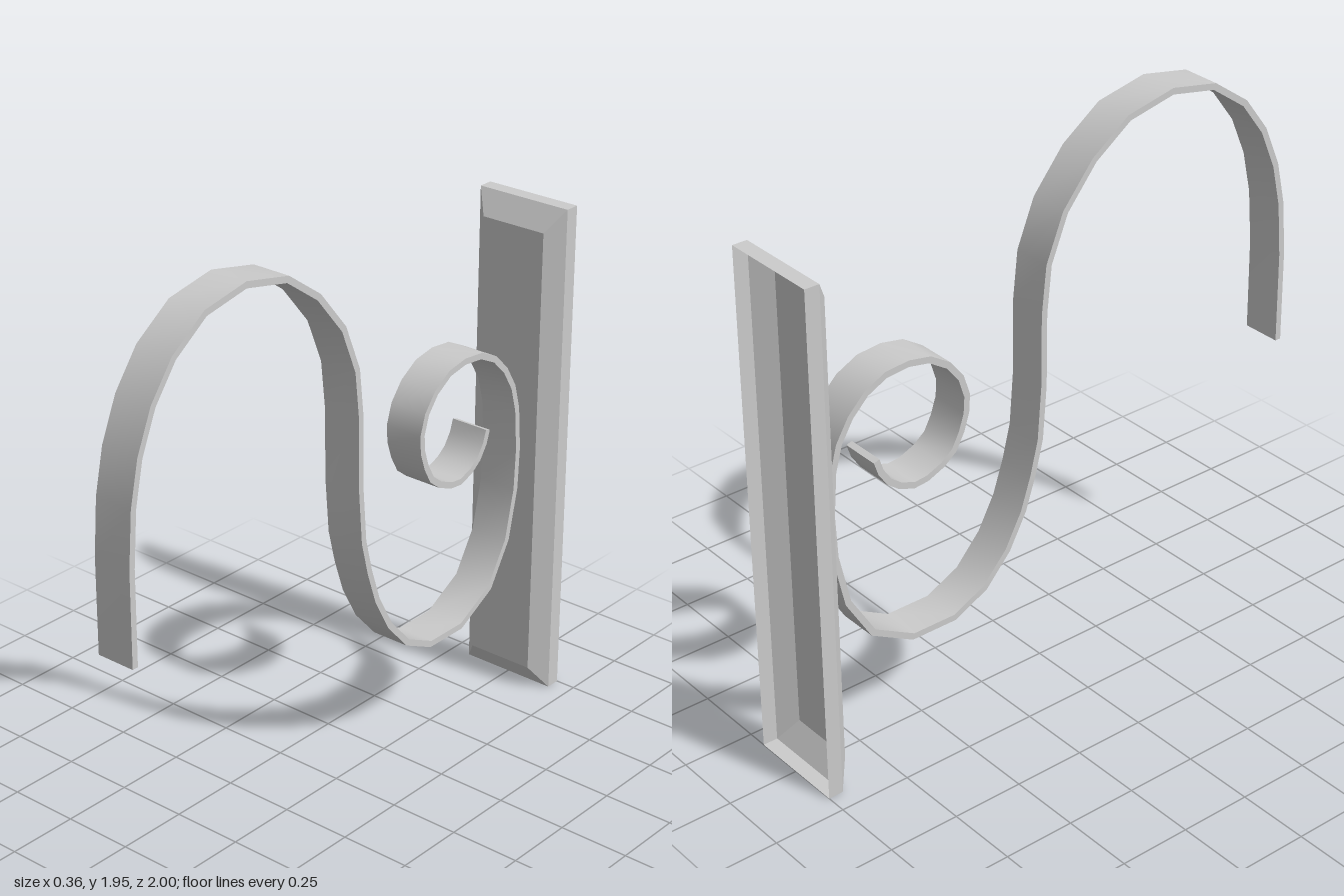
import * as THREE from 'three';
import { toCreasedNormals } from 'three/addons/utils/BufferGeometryUtils.js';

const BAND_WIDTH = 0.14;
const BAND_THICKNESS = 0.022;

// Centreline of the bent band as [z, y], from the free end to the scroll's tip
const PATH = [
  [0.99, 0.885], [0.988, 1.21], [0.973, 1.4], [0.94, 1.55], [0.88, 1.69], [0.79, 1.81], [0.655, 1.905],
  [0.48, 1.938], [0.3, 1.9], [0.16, 1.8], [0.045, 1.66], [-0.02, 1.5], [-0.038, 1.335],
  [-0.04, 1.08], [-0.055, 0.89], [-0.085, 0.77], [-0.125, 0.65], [-0.19, 0.53], [-0.285, 0.425],
  [-0.41, 0.365], [-0.575, 0.365], [-0.73, 0.45], [-0.82, 0.6], [-0.86, 0.78], [-0.867, 0.93],
  [-0.855, 1.08], [-0.83, 1.17], [-0.785, 1.245], [-0.725, 1.305], [-0.65, 1.342], [-0.565, 1.35],
  [-0.485, 1.335], [-0.415, 1.29], [-0.368, 1.23], [-0.346, 1.16], [-0.35, 1.1], [-0.37, 1.04],
  [-0.4, 0.985], [-0.445, 0.95], [-0.505, 0.925], [-0.555, 0.92], [-0.61, 0.94], [-0.65, 0.97],
  [-0.68, 1.015], [-0.695, 1.06],
].map(([z, y]) => new THREE.Vector2(z, y));

// Mitred offset of a polyline to one side
function offset(points, distance) {
  const normal = (a, b) => {
    const d = b.clone().sub(a).normalize();
    return new THREE.Vector2(-d.y, d.x);
  };
  return points.map((p, i) => {
    const before = normal(points[Math.max(i - 1, 0)], points[Math.max(i, 1)]);
    const last = points.length - 1;
    const after = normal(points[Math.min(i, last - 1)], points[Math.min(i + 1, last)]);
    const miter = before.clone().add(after).normalize();
    return p.clone().addScaledVector(miter, distance / miter.dot(after));
  });
}

function bandGeometry() {
  const outline = [
    ...offset(PATH, BAND_THICKNESS / 2),
    ...offset(PATH, -BAND_THICKNESS / 2).reverse(),
  ];
  const geometry = new THREE.ExtrudeGeometry(new THREE.Shape(outline), {
    depth: BAND_WIDTH, bevelEnabled: false,
  });
  geometry.translate(0, 0, -BAND_WIDTH / 2).rotateY(-Math.PI / 2);
  return toCreasedNormals(geometry, 0.8);
}

// Pressed plate: straight rim, bevelled border and flat front, open at the back
function plateGeometry() {
  const rings = [
    { w: 0.178, h: 0.895, z: -1 },
    { w: 0.178, h: 0.895, z: -0.948 },
    { w: 0.123, h: 0.815, z: -0.895 },
  ];
  const positions = [];
  for (const { w, h, z } of rings) {
    for (const [sx, sy] of [[-1, -1], [1, -1], [1, 1], [-1, 1]]) positions.push(sx * w, 0.895 + sy * h, z);
  }
  const index = [];
  for (let r = 0; r < rings.length - 1; r++) {
    for (let i = 0; i < 4; i++) {
      const a = r * 4 + i, b = r * 4 + (i + 1) % 4;
      index.push(a, b, b + 4, a, b + 4, a + 4);
    }
  }
  index.push(8, 9, 10, 8, 10, 11);
  const geometry = new THREE.BufferGeometry();
  geometry.setAttribute('position', new THREE.Float32BufferAttribute(positions, 3));
  geometry.setIndex(index);
  const flat = geometry.toNonIndexed();
  flat.computeVertexNormals();
  return flat;
}

export function createModel() {
  const group = new THREE.Group();
  group.name = 'wallHook';

  const band = new THREE.Mesh(bandGeometry(), new THREE.MeshStandardMaterial({ color: 0xcccccc }));
  band.name = 'scrollBand';

  const plate = new THREE.Mesh(
    plateGeometry(),
    new THREE.MeshStandardMaterial({ color: 0xcccccc, flatShading: true, side: THREE.DoubleSide }),
  );
  plate.name = 'wallPlate';

  group.add(band, plate);
  return group;
}
